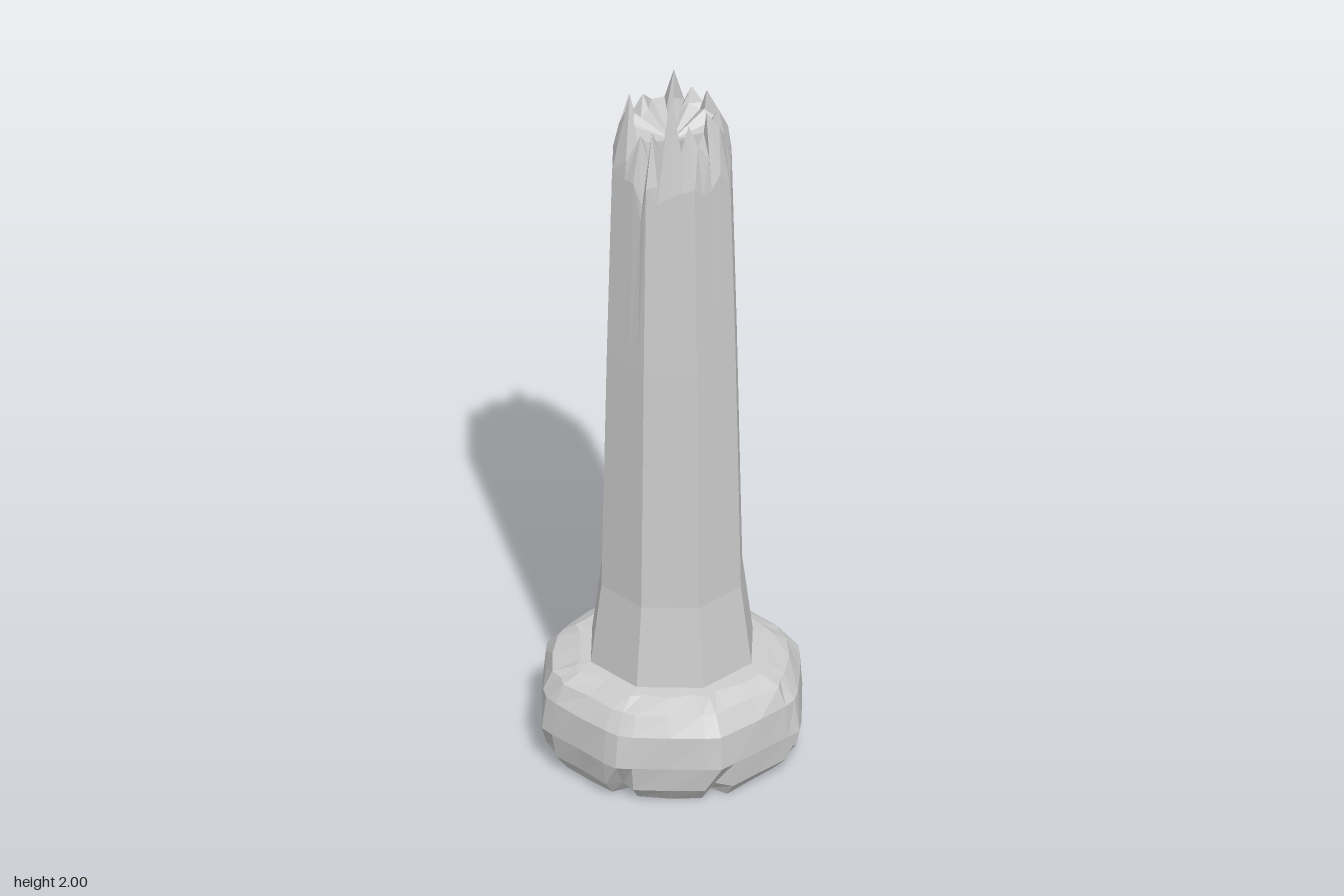
import * as THREE from 'three';

const DEG = Math.PI / 180;
const stone = new THREE.MeshStandardMaterial({ color: 0xcccccc, flatShading: true, side: THREE.DoubleSide });

// Seeded random in -1..1
function makeRandom(seed) {
  return () => {
    seed = (seed * 16807) % 2147483647;
    return (seed / 2147483647) * 2 - 1;
  };
}

// Radius factor of an octagon with corners at 0, 45, 90... degrees
function octagon(deg) {
  const d = (((deg % 45) + 45) % 45) - 22.5;
  return Math.cos(22.5 * DEG) / Math.cos(d * DEG);
}

const polar = (deg, r, y) => [r * Math.cos(deg * DEG), y, r * Math.sin(deg * DEG)];

// Skin a stack of equal-length closed rings, listed along the surface
function loft(name, rings) {
  const n = rings[0].length;
  const index = [];
  for (let j = 0; j < rings.length - 1; j++) {
    for (let i = 0; i < n; i++) {
      const a = j * n + i, b = j * n + (i + 1) % n;
      index.push(a, a + n, b, b, a + n, b + n);
    }
  }
  const geometry = new THREE.BufferGeometry();
  geometry.setAttribute('position', new THREE.Float32BufferAttribute(rings.flat(2), 3));
  geometry.setIndex(index);
  geometry.computeVertexNormals();
  const mesh = new THREE.Mesh(geometry, stone);
  mesh.name = name;
  return mesh;
}

// Rounded octagonal foot, with a chip cut into each corner
function createBase() {
  const random = makeRandom(41);
  const angles = [];
  for (let c = 0; c < 8; c++) angles.push(...[-6.5, 0, 6.5, 22.5].map(d => c * 45 + d));
  // height, radius, radius at the chipped corners, roughness
  const profile = [
    [0.003, 0, 0, 0], [0, 0.31, 0.262, 0.006], [0.04, 0.345, 0.305, 0.004],
    [0.11, 0.357, 0.355, 0.002], [0.2, 0.35, 0.344, 0.003],
    [0.25, 0.318, 0.3, 0.01], [0.274, 0.262, 0.255, 0.012], [0.28, 0.2, 0.2, 0],
  ];
  return loft('base', profile.map(([y, r, chipped, rough]) => angles.map((a, i) =>
    polar(a, (i % 4 === 1 ? chipped : r) * octagon(a) + rough * random(), y))));
}

// Tapering octagonal shaft, snapped off into splinters around a hollow
function createShaft() {
  const random = makeRandom(7);
  // angle and height of the broken edge
  const rim = [
    [0, 1.86], [12, 1.91], [24, 1.8], [36, 1.84], [45, 1.9], [56, 1.83],
    [67, 2.0], [80, 1.74], [90, 1.88], [97, 1.68], [107, 1.86], [118, 1.78],
    [135, 1.95], [146, 1.82], [158, 1.88], [170, 1.82], [180, 1.9], [195, 1.8],
    [208, 1.87], [225, 1.83], [238, 1.84], [249, 1.935], [260, 1.83], [270, 1.88],
    [285, 1.84], [300, 1.9], [315, 1.8], [328, 1.87], [345, 1.82],
  ];
  const side = (y, r) => rim.map(([a]) => polar(a, r * octagon(a), y));
  const edgeRadius = y => Math.max(0.115, 0.16 - 0.35 * Math.max(0, y - 1.78));
  return loft('brokenShaft', [
    side(0.27, 0.222),
    side(0.5, 0.192),
    side(1.2, 0.177),
    // shoulder, dipping below the deep splits
    rim.map(([a, y]) => polar(a, 0.163 * octagon(a), Math.min(1.72 + 0.03 * random(), y - 0.05))),
    rim.map(([a, y]) => polar(a, edgeRadius(y) * octagon(a), y)),
    // inside of the broken edge
    rim.map(([a, y]) => polar(a, 0.103 + 0.012 * random(), 1.83 + 0.3 * (y - 1.85))),
    side(1.79, 0),
  ]);
}

export function createModel() {
  const group = new THREE.Group();
  group.name = 'brokenColumn';
  group.add(createBase(), createShaft());
  return group;
}
